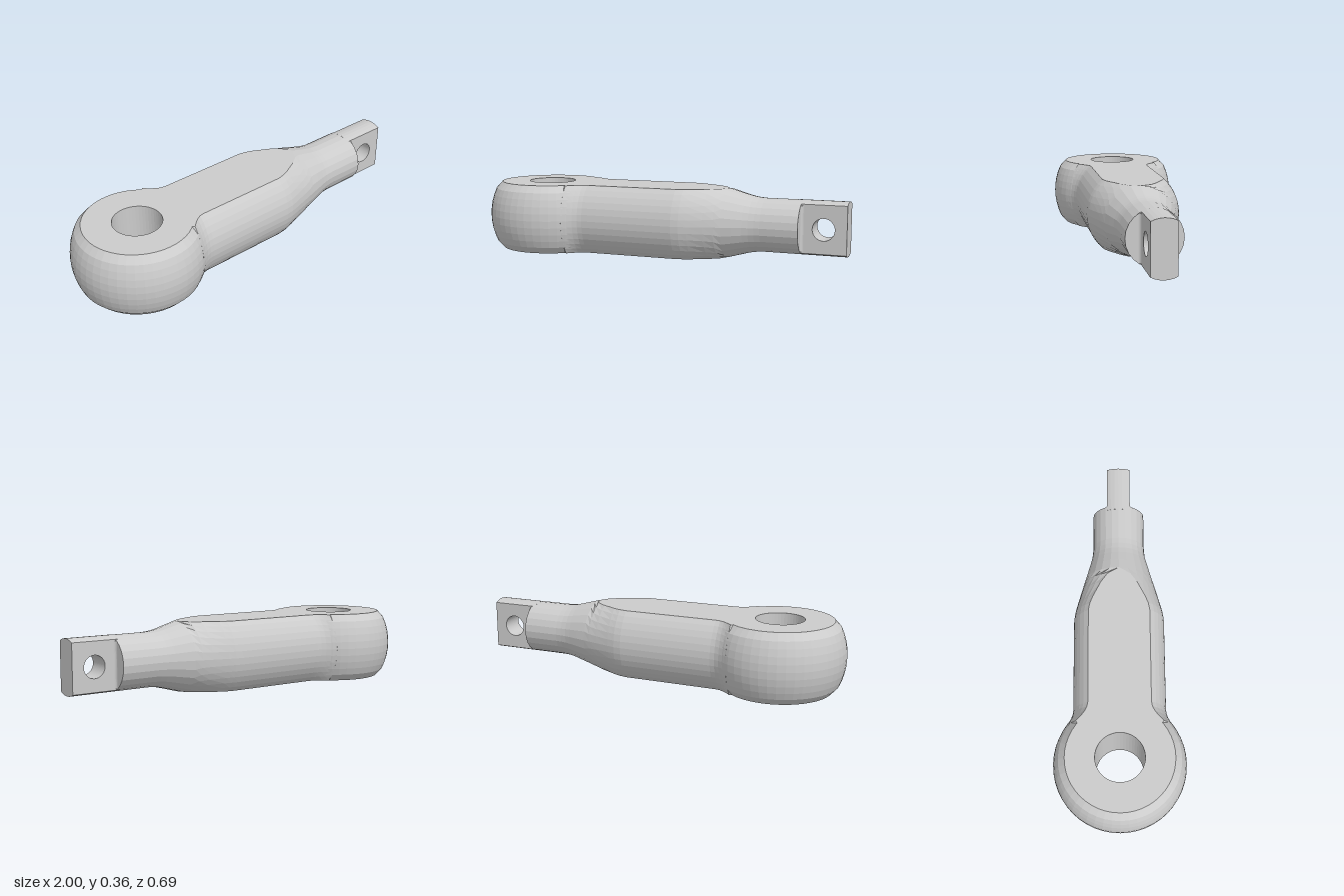
import * as THREE from 'three';

const H = 0.182;          // half height of the flat-cut bar
const HEAD_X = -0.657;    // centre of the eye
const HEAD_R = 0.343;
const NECK_R = 0.14;
const END_X = 0.765;      // shoulder where the tongue starts
const TONGUE = 0.063;     // half thickness of the tongue

const material = new THREE.MeshStandardMaterial({ color: 0xcccccc, flatShading: true });

function add(group, name, geometry, x = 0, z = 0) {
  const mesh = new THREE.Mesh(geometry, material);
  mesh.name = name;
  mesh.position.set(x, H, z);
  group.add(mesh);
  return mesh;
}

// Ball with flat top and bottom and a straight bore
function eyeGeometry() {
  const bore = 0.126, flat = 0.277;
  const pts = [new THREE.Vector2(bore, -H), new THREE.Vector2(flat, -H)];
  const steps = 8, a = Math.asin(0.146 / HEAD_R);
  for (let i = 0; i <= steps; i++) {
    const t = -a + (2 * a * i) / steps;
    pts.push(new THREE.Vector2(HEAD_R * Math.cos(t), HEAD_R * Math.sin(t)));
  }
  pts.push(new THREE.Vector2(flat, H), new THREE.Vector2(bore, H), new THREE.Vector2(bore, -H));
  return new THREE.LatheGeometry(pts, 48);
}

// Round bar along x, cut flat above and below where it is thicker than the height
function shankGeometry() {
  const profile = [
    [-0.5, 0.27], [-0.47, 0.287], [-0.445, 0.269], [-0.42, 0.255], [-0.395, 0.246], [-0.37, 0.243],
    [0.13, 0.243], [0.17, 0.238], [0.21, 0.228], [0.29, 0.206], [0.34, 0.192], [0.375, 0.182],
    [0.43, 0.167], [0.48, 0.153], [0.51, 0.146], [0.54, 0.142], [0.57, NECK_R], [END_X, NECK_R],
  ];
  const arc = 12, ring = 2 * (arc + 1);
  const pos = [], index = [];
  for (const [x, r] of profile) {
    const a = Math.asin(Math.min(1, H / r));
    for (const side of [0, Math.PI]) {
      for (let i = 0; i <= arc; i++) {
        const t = side - a + (2 * a * i) / arc;
        pos.push(x, r * Math.sin(t), r * Math.cos(t));
      }
    }
  }
  for (let k = 0; k < profile.length - 1; k++) {
    for (let i = 0; i < ring; i++) {
      const p = k * ring + i, q = k * ring + ((i + 1) % ring);
      index.push(p, p + ring, q, q, p + ring, q + ring);
    }
  }
  // End caps
  const last = (profile.length - 1) * ring;
  for (let i = 1; i < ring - 1; i++) {
    index.push(0, i, i + 1);
    index.push(last, last + i + 1, last + i);
  }
  const g = new THREE.BufferGeometry();
  g.setAttribute('position', new THREE.Float32BufferAttribute(pos, 3));
  g.setIndex(index);
  g.computeVertexNormals();
  return g;
}

// Flat tongue with a cross hole; its top and bottom follow the round neck
function tongueGeometry() {
  const x0 = END_X - 0.02, x1 = 0.998;
  const shape = new THREE.Shape();
  shape.moveTo(x0, -NECK_R);
  shape.lineTo(x1, -NECK_R);
  shape.lineTo(x1, NECK_R);
  shape.lineTo(x0, NECK_R);
  shape.closePath();
  const hole = new THREE.Path();
  hole.absarc(0.88, 0, 0.057, 0, Math.PI * 2, true);
  shape.holes.push(hole);
  const g = new THREE.ExtrudeGeometry(shape, {
    depth: 2 * TONGUE, steps: 6, bevelEnabled: false, curveSegments: 32,
  });
  g.translate(0, 0, -TONGUE);
  const p = g.attributes.position;
  for (let i = 0; i < p.count; i++) {
    if (Math.abs(p.getY(i)) > NECK_R - 1e-4) {
      p.setY(i, Math.sign(p.getY(i)) * Math.sqrt(NECK_R ** 2 - p.getZ(i) ** 2));
    }
  }
  g.computeVertexNormals();
  return g;
}

// Small concave fillet between shoulder and tongue
function filletGeometry() {
  const r = 0.016, len = 0.234;
  const s = new THREE.Shape();
  s.moveTo(0, 0);
  s.lineTo(r, 0);
  s.absarc(r, r, r, -Math.PI / 2, -Math.PI, true);
  s.closePath();
  const g = new THREE.ExtrudeGeometry(s, { depth: len, bevelEnabled: false, curveSegments: 5 });
  g.translate(0, 0, -len / 2);
  g.rotateX(Math.PI / 2);
  return g;
}

export function createModel() {
  const group = new THREE.Group();
  group.name = 'eyeRod';
  add(group, 'eye', eyeGeometry(), HEAD_X);
  add(group, 'shank', shankGeometry());
  add(group, 'tongue', tongueGeometry());
  // Matching fillets on both faces of the tongue
  for (const side of [1, -1]) {
    const fillet = add(group, side > 0 ? 'frontFillet' : 'backFillet', filletGeometry(), END_X, side * TONGUE);
    if (side < 0) fillet.scale.z = -1;
  }
  return group;
}
